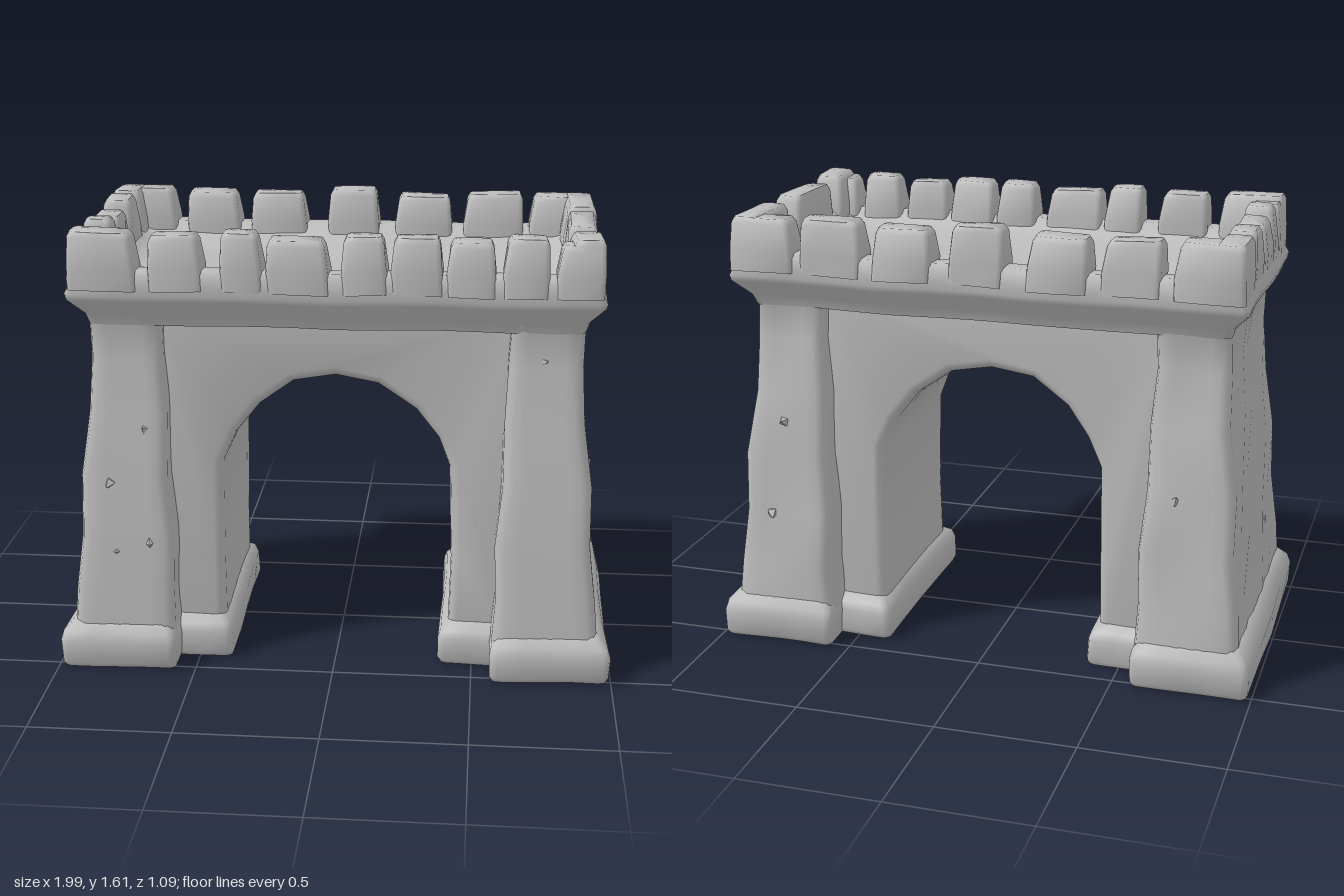
import * as THREE from 'three';
import { toCreasedNormals } from 'three/addons/utils/BufferGeometryUtils.js';

const stone = new THREE.MeshStandardMaterial({ name: 'grey stone', color: 0xbcbcbc });

// Gentle unevenness of hewn stone, depending only on position
function weather(geo, amp) {
  const p = geo.attributes.position;
  for (let i = 0; i < p.count; i++) {
    const x = p.getX(i), y = p.getY(i), z = p.getZ(i);
    p.setXYZ(i,
      x + amp * Math.sin(13 * y + 7 * z + 2 * x),
      y + amp * 0.5 * Math.sin(9 * x + 11 * z),
      z + amp * Math.sin(12 * x + 10 * y + z));
  }
  return geo;
}

// Solid from stacked rounded rectangles [y, x0, x1, z0, z1]
function loft(sections, r, amp, steps = 4) {
  const pos = [], idx = [];
  for (const [y, x0, x1, z0, z1] of sections) {
    const corners = [[x1 - r, z1 - r], [x0 + r, z1 - r], [x0 + r, z0 + r], [x1 - r, z0 + r]];
    corners.forEach(([cx, cz], k) => {
      const at = (c, a) => [c[0] + r * Math.cos(a), c[1] + r * Math.sin(a)];
      for (let s = 0; s < 3; s++) {
        const [x, z] = at([cx, cz], (k + s / 2) * Math.PI / 2);
        pos.push(x, y, z);
      }
      const a = (k + 1) * Math.PI / 2;
      const p = at([cx, cz], a), q = at(corners[(k + 1) % 4], a);
      for (let s = 1; s < steps; s++) {
        const t = s / steps;
        pos.push(p[0] + (q[0] - p[0]) * t, y, p[1] + (q[1] - p[1]) * t);
      }
    });
  }
  const n = 4 * (2 + steps), m = sections.length;
  for (let j = 0; j < m - 1; j++) for (let i = 0; i < n; i++) {
    const a = j * n + i, b = j * n + (i + 1) % n;
    idx.push(a, a + n, b, b, a + n, b + n);
  }
  // End caps
  for (const j of [0, m - 1]) {
    const [y, x0, x1, z0, z1] = sections[j], c = pos.length / 3;
    pos.push((x0 + x1) / 2, y, (z0 + z1) / 2);
    for (let i = 0; i < n; i++) {
      const a = j * n + i, b = j * n + (i + 1) % n;
      if (j) idx.push(c, b, a); else idx.push(c, a, b);
    }
  }
  const geo = new THREE.BufferGeometry();
  geo.setAttribute('position', new THREE.Float32BufferAttribute(pos, 3));
  geo.setIndex(idx);
  return toCreasedNormals(weather(geo, amp), 1.1);
}

export function createModel() {
  const group = new THREE.Group();
  group.name = 'stoneGate';
  const add = (name, geo) => {
    const mesh = new THREE.Mesh(geo, stone);
    mesh.name = name;
    group.add(mesh);
    return mesh;
  };
  // Section measured outwards from the middle, on either side
  const sided = (s, list) => list.map(([y, inner, outer, z]) =>
    s > 0 ? [y, inner, outer, -z, z] : [y, -outer, -inner, -z, z]);

  for (const [s, side] of [[1, 'left'], [-1, 'right']]) {
    // Battered corner pillar
    add(side + 'Pillar', loft(sided(s, [
      [0.1, 0.57, 0.95, 0.51], [0.3, 0.575, 0.93, 0.495], [0.5, 0.58, 0.915, 0.48],
      [0.72, 0.59, 0.9, 0.46], [0.95, 0.6, 0.88, 0.43], [1.15, 0.605, 0.86, 0.405],
      [1.28, 0.605, 0.86, 0.4], [1.36, 0.6, 0.9, 0.43]]), 0.035, 0.007, 6));
    // Foot of the pillar, sloping back into the shaft
    add(side + 'PillarFoot', loft(sided(s, [
      [0.012, 0.575, 0.985, 0.525], [0.03, 0.57, 0.992, 0.537], [0.11, 0.565, 0.992, 0.54],
      [0.145, 0.57, 0.98, 0.53], [0.19, 0.6, 0.935, 0.49]]), 0.025, 0.005));
    // Lower, set-back foot beside the passage
    add(side + 'PassageFoot', loft(sided(s, [
      [0.012, 0.385, 0.7, 0.4], [0.03, 0.378, 0.7, 0.41], [0.11, 0.38, 0.7, 0.41],
      [0.14, 0.39, 0.7, 0.4], [0.17, 0.43, 0.7, 0.35]]), 0.025, 0.004));
  }

  // Recessed wall pierced by the arch, its arrises worn round
  const arch = [[0.41, 0.05], [0.413, 0.4], [0.405, 0.75], [0.36, 0.86], [0.28, 0.965],
    [0.15, 1.055], [0, 1.08]];
  const outline = [[-0.68, 0.05], ...arch.map(([x, y]) => [-x, y]),
    ...arch.slice(0, -1).reverse(), [0.68, 0.05], [0.68, 1.36], [-0.68, 1.36]];
  const shape = new THREE.Shape(outline.map(([x, y]) => new THREE.Vector2(x, y)));
  const wall = new THREE.ExtrudeGeometry(shape, {
    depth: 1.76, steps: 6, bevelThickness: 0.12, bevelSize: 0.035, bevelOffset: -0.035, bevelSegments: 3
  });
  wall.translate(0, 0, -0.88);
  const wp = wall.attributes.position;
  for (let i = 0; i < wp.count; i++) wp.setZ(i, wp.getZ(i) * (0.365 - 0.02 * wp.getY(i)));
  add('archWall', toCreasedNormals(weather(wall, 0.004), 0.9));

  // Flared cornice, parapet and sunken roof deck with filleted edges
  add('corniceAndDeck', loft([
    [1.27, 0.86, 0.40], [1.31, 0.875, 0.415], [1.37, 0.93, 0.472], [1.39, 0.935, 0.478],
    [1.42, 0.92, 0.476], [1.465, 0.912, 0.474], [1.48, 0.9, 0.46], [1.48, 0.835, 0.395],
    [1.45, 0.8, 0.36], [1.425, 0.765, 0.325], [1.412, 0.7, 0.26]
  ].map(([y, x, z]) => [y, -x, x, -z, z]), 0.025, 0.005, 10));

  // Merlons: worn blocks of slightly varying height, spreading at the base
  let count = 0;
  const merlon = (x0, x1, z0, z1) => {
    const top = 1.602 + 0.01 * Math.sin(count * 2.3);
    const row = (y, d) => [y, x0 + d, x1 - d, z0 + d, z1 - d];
    add('merlon' + ++count, loft(
      [row(1.41, -0.008), row(1.49, -0.008), row(top - 0.02, 0.002), row(top, 0.012)], 0.018, 0.006, 2));
  };
  const front = [[-0.63, -0.46], [-0.38, -0.25], [-0.22, -0.02], [0.04, 0.18], [0.21, 0.37],
    [0.4, 0.55], [0.59, 0.73]];
  const back = [[-0.63, -0.44], [-0.38, -0.18], [-0.08, 0.1], [0.18, 0.38], [0.44, 0.65]];
  front.forEach(([a, b]) => merlon(a, b, 0.365, 0.475));
  back.forEach(([a, b]) => merlon(a, b, -0.475, -0.36));
  [[-0.26, -0.11], [-0.05, 0.13], [0.17, 0.27]].forEach(([a, b]) => merlon(-0.91, -0.805, a, b));
  merlon(0.805, 0.91, -0.1, 0.2);
  // L-shaped corner merlons
  for (const sx of [1, -1]) for (const sz of [1, -1]) {
    const span = (s, a, b) => s > 0 ? [a, b] : [-b, -a];
    merlon(...span(sx, sx > 0 && sz > 0 ? 0.77 : 0.69, 0.915), ...span(sz, 0.365, 0.48));
    merlon(...span(sx, 0.805, 0.915), ...span(sz, sx > 0 && sz < 0 ? 0.18 : 0.29, 0.478));
  }

  // Small chipped stones lying almost flush in the pillars
  const chips = [[-0.78, 0.45, 0.475], [-0.66, 0.48, 0.47], [-0.8, 0.7, 0.45], [-0.67, 0.9, 0.43],
    [0.72, 1.17, 0.395], [0.91, 0.65, -0.03], [0.915, 0.56, -0.28],
    [0.8, 0.5, -0.475], [0.75, 0.85, -0.445], [-0.91, 0.4, 0.2], [-0.7, 0.7, -0.46]];
  chips.forEach(([x, y, z], i) => {
    const chip = add('chip' + (i + 1), new THREE.OctahedronGeometry(0.03));
    chip.scale.set(1, 0.7, 0.7);
    chip.position.set(x, y, z);
    chip.rotation.set(i, i * 1.7, i * 0.6);
  });
  return group;
}
